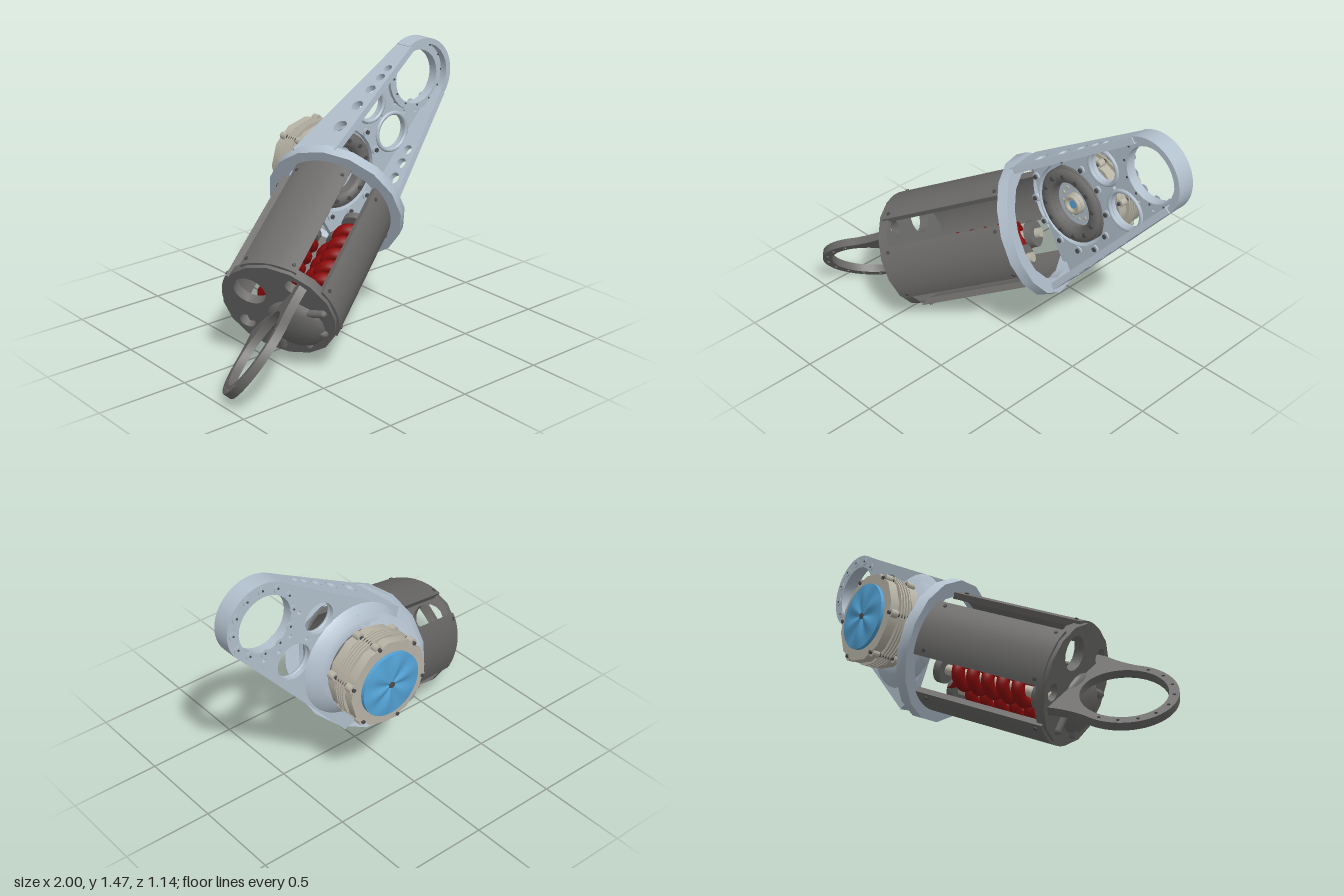
import * as THREE from 'three';
import { toCreasedNormals } from 'three/addons/utils/BufferGeometryUtils.js';
import { ConvexGeometry } from 'three/addons/geometries/ConvexGeometry.js';

const mat = (name, color, side = THREE.FrontSide) => {
  const m = new THREE.MeshStandardMaterial({ color, side });
  m.name = name;
  return m;
};
const V = (x, y, z) => new THREE.Vector3(x, y, z);
const rad = THREE.MathUtils.degToRad;

export function createModel() {
  const root = new THREE.Group();
  root.name = 'robotLegLink';
  const shell = mat('paleBlueGrey', 0xb2c0cd, THREE.DoubleSide);
  const dark = mat('darkGrey', 0x6c6b6a, THREE.DoubleSide);
  const black = mat('screwGrey', 0x4c4c4e);
  const beige = mat('beigeMetal', 0xb8b4a6);
  const red = mat('springRed', 0x8c0a0a);
  const blue = mat('coverBlue', 0x54a4d8, THREE.DoubleSide);

  const add = (parent, name, geo, material) => {
    const m = new THREE.Mesh(geo, material);
    m.name = name;
    parent.add(m);
    return m;
  };
  const extrude = (shape, depth, z = 0, seg = 12) =>
    toCreasedNormals(new THREE.ExtrudeGeometry(shape, { depth, bevelEnabled: false, curveSegments: seg }).translate(0, 0, z), 0.6);
  const hole = (x, y, r) => new THREE.Path().absarc(x, y, r, 0, Math.PI * 2, true);
  const disc = (x, y, r) => new THREE.Shape().absarc(x, y, r, 0, Math.PI * 2, false);
  // Cylinder along z between two depths
  const cylZ = (parent, name, material, x, y, r, z0, z1, seg = 24) =>
    add(parent, name, new THREE.CylinderGeometry(r, r, z1 - z0, seg).rotateX(Math.PI / 2).translate(x, y, (z0 + z1) / 2), material);

  // ---------- Lower barrel: local z runs up along the leg axis ----------
  const a = V(0.81, 0.41, -0.41).normalize();
  const u = V(0, 1, 0).addScaledVector(a, -a.y).normalize();
  const v = new THREE.Vector3().crossVectors(a, u);
  const barrel = new THREE.Group();
  barrel.name = 'barrel';
  barrel.applyMatrix4(new THREE.Matrix4().makeBasis(u, v, a).setPosition(-0.55, 0.355, 0.21));
  root.add(barrel);

  // Four curved cover panels with screws at their ends (angles from the front side towards the top)
  const R = 0.322, half = rad(29.5);
  const panelShape = new THREE.Shape().absarc(0, 0, R, -half, half, false);
  panelShape.absarc(0, 0, R - 0.035, half, -half, true);
  const panelGeo = extrude(panelShape, 0.775, 0.01, 8);
  for (const angle of [4, 92, 175, 272]) {
    const g = new THREE.Group();
    g.name = 'coverPanel';
    g.rotation.z = rad(90 - angle);
    barrel.add(g);
    add(g, 'panel', panelGeo, dark);
    for (const s of [-24, 24])
      for (const t of [0.05, 0.72])
        add(g, 'panelScrew', new THREE.CylinderGeometry(0.01, 0.01, 0.02, 8).rotateZ(Math.PI / 2)
          .translate(R - 0.004, 0, t).rotateZ(rad(s)), black);
  }

  // Three coil springs on rods, with end blocks
  for (const [x, y] of [[-0.01, 0.165], [-0.17, 0.045], [-0.13, -0.14]]) {
    const pts = [];
    for (let i = 0; i <= 96; i++) {
      const w = i / 96 * Math.PI * 2 * 5.5;
      pts.push(V(x + 0.056 * Math.cos(w), y + 0.056 * Math.sin(w), 0.12 + 0.5 * i / 96));
    }
    add(barrel, 'spring', new THREE.TubeGeometry(new THREE.CatmullRomCurve3(pts), 220, 0.034, 8), red);
    cylZ(barrel, 'springRod', beige, x, y, 0.028, 0.02, 0.72, 14);
    cylZ(barrel, 'springSeat', dark, x, y, 0.08, 0.03, 0.09, 18);
    cylZ(barrel, 'springCollar', dark, x, y, 0.075, 0.65, 0.69, 18);
  }

  // End cap with openings and a moulded swelling
  const ox = Math.sin(rad(140)), oy = Math.cos(rad(140));
  const cap = disc(0, 0, 0.312);
  cap.holes.push(hole(ox * 0.18, oy * 0.18, 0.09), hole(0.2, 0.12, 0.045), hole(-0.12, -0.2, 0.045));
  add(barrel, 'endCap', extrude(cap, 0.055, -0.01, 8), dark);
  const lump = add(barrel, 'capSwelling', new THREE.SphereGeometry(0.16, 16, 10), dark);
  lump.position.set(-ox * 0.11, -oy * 0.11, -0.005);
  lump.scale.set(1, 1, 0.4);
  for (const k of [-50, -15, 20, 55])
    add(barrel, 'capRib', new THREE.CapsuleGeometry(0.022, 0.2, 4, 8).rotateZ(-Math.PI / 2).translate(0.16, 0, -0.015)
      .rotateZ(Math.atan2(-oy, -ox) + rad(k)), dark);

  // Ring plate at the foot, flaring into the cap
  const foot = new THREE.Shape();
  foot.moveTo(-0.28, 0.03);
  foot.lineTo(-0.28, 0);
  foot.quadraticCurveTo(-0.25, -0.1, -0.261, -0.21);
  foot.absarc(0, -0.28, 0.27, Math.PI - 0.26, Math.PI * 2 + 0.26, false);
  foot.quadraticCurveTo(0.25, -0.1, 0.28, 0);
  foot.lineTo(0.28, 0.03);
  foot.holes.push(hole(0, -0.28, 0.22));
  for (let i = 0; i < 9; i++) {
    const w = Math.PI + i * Math.PI / 8;
    foot.holes.push(hole(0.245 * Math.cos(w), -0.28 + 0.245 * Math.sin(w), 0.009));
  }
  const side = V(-oy, ox, 0), up = V(0, 0, 1);
  add(barrel, 'footRing', extrude(foot, 0.044, -0.022, 16), dark)
    .applyMatrix4(new THREE.Matrix4().makeBasis(side, up, side.clone().cross(up)));

  // Faceted collar at the top of the barrel
  const collar = disc(0, 0, 0.384);
  collar.holes.push(hole(0, 0, 0.303));
  add(barrel, 'collar', extrude(collar, 0.06, 0.78, 8), shell);

  // ---------- Upper arm: a tapering tray ----------
  const arm = new THREE.Group();
  arm.name = 'upperArm';
  root.add(arm);
  const back = -0.272, ex = 0.782, ey = 1.268, mx = 0.235, my = 0.81;
  const aUp = Math.atan2(0.19, -0.1), aLow = Math.atan2(-0.13, 0.165);
  const floor = new THREE.Shape();
  floor.moveTo(-0.07, 0.99);
  floor.lineTo(0.02, 0.7);
  floor.lineTo(0.2, 0.4);
  floor.lineTo(0.29, 0.38);
  floor.absarc(ex, ey, 0.205, aLow, aUp, false);
  floor.closePath();
  floor.holes.push(hole(ex - 0.008, ey - 0.014, 0.155), hole(0.45, 1.145, 0.087), hole(0.61, 0.96, 0.1), hole(mx, my, 0.235));
  for (const [x, y] of [[0.57, 1.23], [0.63, 1.12], [0.7, 1.06], [0.79, 1.05], [0.53, 1.06]]) floor.holes.push(hole(x, y, 0.011));
  add(arm, 'trayFloor', extrude(floor, 0.035, back, 12), shell);

  // Raised lips round the lightening holes
  for (const [x, y, r] of [[0.45, 1.145, 0.095], [0.61, 0.96, 0.108]])
    add(arm, 'holeLip', new THREE.TorusGeometry(r, 0.012, 8, 28).translate(x, y, back + 0.035), shell);

  // Side walls with a row of shrinking round openings
  const wallThick = 0.036;
  const wall = (name, x0, y0, x1, y1, ext, shift, spots) => {
    const d = V(x1 - x0, y1 - y0, 0), L = d.length();
    d.normalize();
    const s = new THREE.Shape([[0, -0.01], [-ext, back], [L, back], [L, -0.165]].map(p => new THREE.Vector2(...p)));
    for (const f of spots) {
      const h = 0.262 - 0.155 * f;
      s.holes.push(hole(f * L, back + h * 0.66, h * 0.17));
    }
    const z = V(0, 0, 1), n = d.clone().cross(z);
    add(arm, name, extrude(s, wallThick, shift), shell)
      .applyMatrix4(new THREE.Matrix4().makeBasis(d, z, n).setPosition(x0, y0, 0));
  };
  wall('upperWall', 0, 1.035, ex + 0.21 * Math.cos(aUp), ey + 0.21 * Math.sin(aUp), 0.08, 0, [0.19, 0.39, 0.55, 0.67, 0.76]);
  wall('lowerWall', 0.33, 0.42, ex + 0.21 * Math.cos(aLow), ey + 0.21 * Math.sin(aLow), 0.06, -wallThick, [0.15, 0.28, 0.39, 0.49, 0.58]);

  // End eye: outer rim band and a bolted inner ring
  const rim = new THREE.Shape().absarc(ex, ey, 0.212, aLow - 0.05, aUp + 0.05, false);
  rim.absarc(ex, ey, 0.18, aUp + 0.05, aLow - 0.05, true);
  add(arm, 'eyeRim', extrude(rim, 0.1, back, 16), shell);
  const eye = disc(ex - 0.004, ey - 0.006, 0.2);
  eye.holes.push(hole(ex - 0.008, ey - 0.014, 0.154));
  add(arm, 'eyeRing', extrude(eye, 0.056, back, 14), shell);
  for (let i = 0; i < 12; i++) {
    const w = i * Math.PI / 6;
    const x = ex + 0.178 * Math.cos(w), y = ey + 0.178 * Math.sin(w);
    cylZ(arm, 'eyePad', shell, x, y, 0.024, back - 0.004, back, 10);
    cylZ(arm, 'eyeScrew', black, x, y, 0.006, back - 0.006, -0.212, 8);
  }

  // Dished boss behind the tray, blended into the collar
  const boss = [[0.315, back], [0.29, -0.295], [0.25, -0.32], [0.215, -0.335], [0.02, -0.335]]
    .map(([r, z]) => new THREE.Vector2(r, z));
  add(arm, 'motorBoss', new THREE.LatheGeometry(boss, 32).rotateX(Math.PI / 2).translate(mx, my, 0), shell);
  const c1 = V(0.1, 0.71, -0.12), pts = [];
  for (let k = 140; k <= 230; k += 15) {
    const w = rad(k);
    pts.push(c1.clone().addScaledVector(v, 0.34 * Math.cos(w)).addScaledVector(u, 0.34 * Math.sin(w)));
  }
  for (let k = 90; k <= 270; k += 20) {
    const w = rad(k);
    for (const [r, z] of [[0.215, -0.337], [0.28, -0.302]]) pts.push(V(mx + r * Math.cos(w), my + r * Math.sin(w), z));
  }
  add(arm, 'bossBridge', toCreasedNormals(new ConvexGeometry(pts), 0.7), shell);

  // Joint bearing seen inside the tray
  const bearing = disc(mx, my, 0.215);
  bearing.holes.push(hole(mx, my, 0.13));
  add(arm, 'bearingRing', extrude(bearing, 0.085, -0.325, 24), dark);
  add(arm, 'bearingEdge', new THREE.TorusGeometry(0.172, 0.04, 8, 32).scale(1, 1, 0.6).translate(mx, my, -0.24), dark);
  cylZ(arm, 'bearingPlate', shell, mx, my, 0.13, -0.33, -0.28, 28);
  cylZ(arm, 'bearingHub', beige, mx, my, 0.06, -0.29, -0.255, 24);
  add(arm, 'hubRing', new THREE.TorusGeometry(0.045, 0.014, 8, 24).translate(mx, my, -0.252), beige);
  cylZ(arm, 'hubBore', blue, mx, my, 0.024, -0.26, -0.252, 16);
  for (let i = 0; i < 12; i++) {
    const w = (i + 0.5) * Math.PI / 6, c = Math.cos(w), s = Math.sin(w);
    cylZ(arm, 'floorWasher', shell, mx + 0.262 * c, my + 0.262 * s, 0.024, back, -0.228, 12);
    cylZ(arm, 'floorScrew', black, mx + 0.262 * c, my + 0.262 * s, 0.013, -0.23, -0.22, 8);
    cylZ(arm, 'bearingScrew', black, mx + 0.172 * c, my + 0.172 * s, 0.013, -0.23, -0.21, 8);
    cylZ(arm, 'plateScrew', beige, mx + 0.095 * c, my + 0.095 * s, 0.01, -0.285, -0.272, 8);
  }

  // ---------- Motor on the back ----------
  const motor = new THREE.Group();
  motor.name = 'motor';
  motor.position.set(mx, my, 0);
  root.add(motor);
  cylZ(motor, 'motorNeck', dark, 0, 0, 0.212, -0.362, -0.33, 32);
  cylZ(motor, 'frontFlange', beige, 0, 0, 0.236, -0.41, -0.36, 12);
  cylZ(motor, 'motorCore', beige, 0, 0, 0.22, -0.5, -0.4, 32);
  for (let i = 0; i < 4; i++) cylZ(motor, 'coolingFin', beige, 0, 0, 0.245, -0.434 - i * 0.017, -0.426 - i * 0.017, 24);
  cylZ(motor, 'rearFlange', beige, 0, 0, 0.24, -0.545, -0.495, 12);
  for (let i = 0; i < 6; i++) {
    const w = i * Math.PI / 3 + 0.26, x = 0.232 * Math.cos(w), y = 0.232 * Math.sin(w);
    cylZ(motor, 'frontEar', beige, x, y, 0.022, -0.405, -0.365, 12);
    cylZ(motor, 'rearEar', beige, x, y, 0.022, -0.54, -0.5, 12);
    cylZ(motor, 'motorBolt', black, x, y, 0.01, -0.553, -0.355, 8);
  }
  // Blue cover with six shallow waves
  cylZ(motor, 'coverEdge', blue, 0, 0, 0.178, -0.565, -0.54, 36);
  const wave = new THREE.RingGeometry(0.015, 0.178, 48, 5);
  const p = wave.attributes.position;
  for (let i = 0; i < p.count; i++) {
    const x = p.getX(i), y = p.getY(i), r = Math.hypot(x, y);
    p.setZ(i, 0.012 * (1 + Math.sin(6 * Math.atan2(y, x))) * Math.sin(Math.PI * r / 0.178) / 2);
  }
  wave.computeVertexNormals();
  add(motor, 'coverFace', wave.rotateY(Math.PI).translate(0, 0, -0.566), blue);
  cylZ(motor, 'coverHub', black, 0, 0, 0.018, -0.574, -0.56, 6);

  return root;
}
